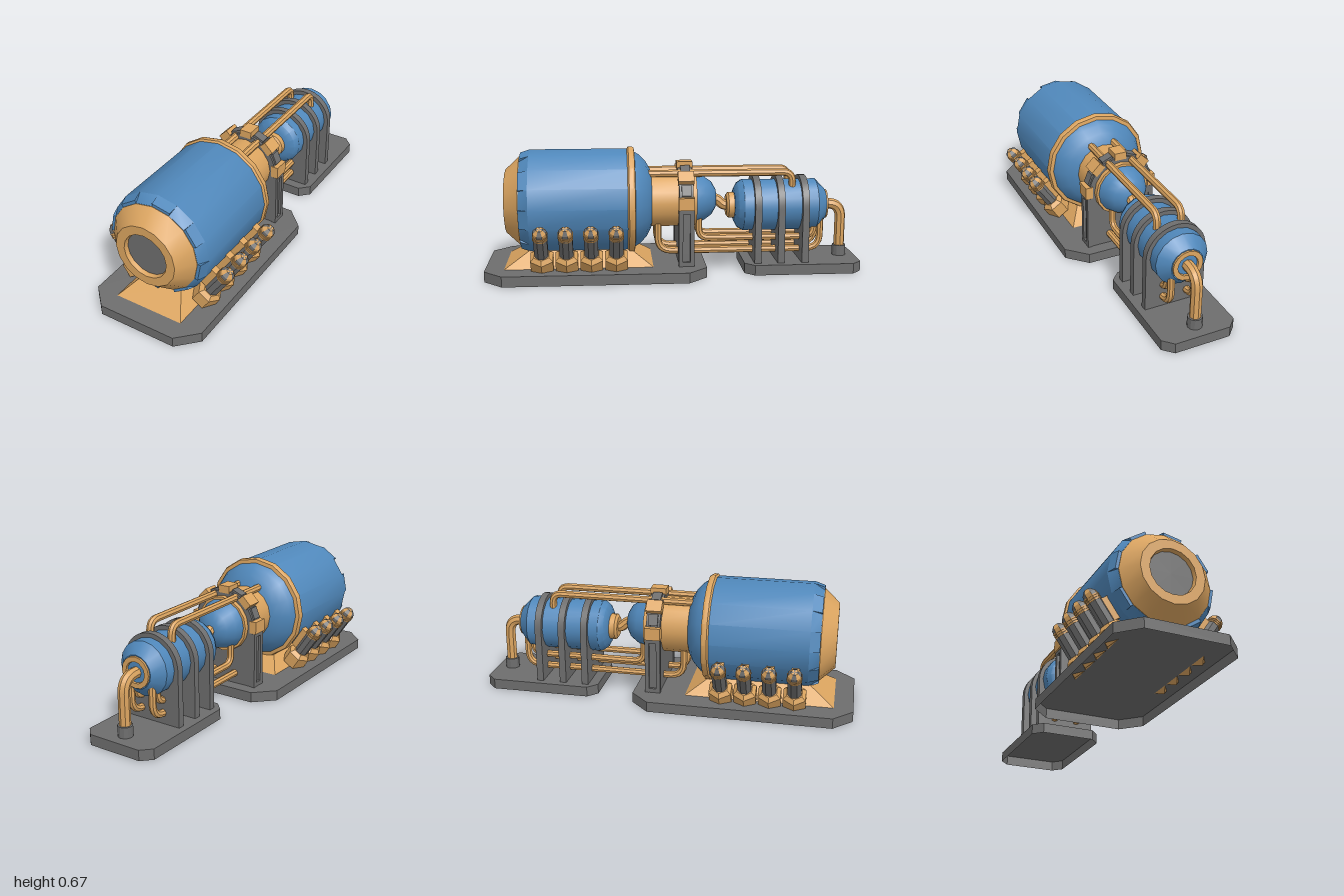
import * as THREE from 'three';
import { toCreasedNormals } from 'three/addons/utils/BufferGeometryUtils.js';

const tan = new THREE.MeshStandardMaterial({ color: 0xdca560 });
const blue = new THREE.MeshStandardMaterial({ color: 0x5088bb });
const grey = new THREE.MeshStandardMaterial({ color: 0x6e6e6e });
const greyShell = new THREE.MeshStandardMaterial({ color: 0x6e6e6e, side: THREE.DoubleSide });

const MAIN_Y = 0.385, TANK_Y = 0.345, FLOOR = 0.055;

export function createModel() {
  const model = new THREE.Group();

  function add(name, geometry, material, parent = model) {
    const mesh = new THREE.Mesh(toCreasedNormals(geometry, 0.5), material);
    mesh.name = name;
    parent.add(mesh);
    return mesh;
  }

  // Turned part along z; profile is [radius, z] with z increasing
  function turned(name, profile, y, material, sides = 16) {
    const g = new THREE.LatheGeometry(profile.map(([r, z]) => new THREE.Vector2(r, z)), sides);
    g.rotateX(Math.PI / 2).translate(0, y, 0);
    return add(name, g, material);
  }

  function box(name, w, h, d, x, y, z, material) {
    return add(name, new THREE.BoxGeometry(w, h, d).translate(x, y, z), material);
  }

  // Pipe through corner points with rounded bends
  function pipe(name, points, radius, bend) {
    const p = points.map(a => new THREE.Vector3(...a));
    const path = new THREE.CurvePath();
    let start = p[0];
    for (let i = 1; i < p.length - 1; i++) {
      const toward = (q) => p[i].clone().add(q.clone().sub(p[i]).setLength(bend));
      const a = toward(p[i - 1]), b = toward(p[i + 1]);
      path.add(new THREE.LineCurve3(start, a));
      path.add(new THREE.QuadraticBezierCurve3(a, p[i], b));
      start = b;
    }
    path.add(new THREE.LineCurve3(start, p[p.length - 1]));
    return add(name, new THREE.TubeGeometry(path, 56, radius, 8), tan);
  }

  // Hollow base slabs with cut corners: top and walls, open underneath
  function slab(name, hw, z0, z1, cut) {
    const rim = [
      [-hw + cut, z0], [hw - cut, z0], [hw, z0 + cut], [hw, z1 - cut],
      [hw - cut, z1], [-hw + cut, z1], [-hw, z1 - cut], [-hw, z0 + cut],
    ];
    const verts = [];
    rim.forEach(([x, z], i) => {
      const [u, w] = rim[(i + 1) % rim.length];
      verts.push(x, 0, z, x, FLOOR, z, u, FLOOR, w, x, 0, z, u, FLOOR, w, u, 0, w);
      verts.push(0, FLOOR, (z0 + z1) / 2, u, FLOOR, w, x, FLOOR, z);
    });
    const g = new THREE.BufferGeometry();
    g.setAttribute('position', new THREE.Float32BufferAttribute(verts, 3));
    add(name, g, greyShell);
  }
  slab('mainBase', 0.313, -0.16, 1.0, 0.1);
  slab('rearBase', 0.197, -1.0, -0.37, 0.05);

  // Cradle: box tapering upward
  const cradle = new THREE.BoxGeometry(0.38, 0.089, 0.78).translate(0, 0.1005, 0.51);
  const cp = cradle.attributes.position;
  for (let i = 0; i < cp.count; i++) {
    if (cp.getY(i) < 0.1) continue;
    cp.setX(i, cp.getX(i) * 0.53);
    cp.setZ(i, 0.505 + (cp.getZ(i) - 0.51) * 0.65);
  }
  add('cradle', cradle, tan);

  // Main vessel
  turned('mainShell', [[0.14, 0.12], [0.165, 0.13], [0.205, 0.152], [0.24, 0.185], [0.265, 0.225],
    [0.275, 0.25], [0.275, 0.762], [0.243, 0.812], [0.2, 0.812]], MAIN_Y, blue);
  turned('shellBand', [[0.26, 0.212], [0.28, 0.215], [0.285, 0.225], [0.285, 0.245], [0.272, 0.255]], MAIN_Y, tan);
  turned('frontCap', [[0.242, 0.8], [0.242, 0.815], [0.17, 0.893], [0.122, 0.893], [0.116, 0.865]], MAIN_Y, tan);
  turned('frontWindow', [[0.12, 0.87], [0, 0.87]], MAIN_Y, grey);
  turned('neck', [[0, -0.115], [0.148, -0.115], [0.15, -0.1], [0.15, 0.16]], MAIN_Y, tan);
  turned('neckDome', [[0, -0.232], [0.05, -0.225], [0.09, -0.202], [0.12, -0.16], [0.137, -0.11]], MAIN_Y, blue);

  // Raised blocks around the front rim
  for (let k = 0; k < 8; k++) {
    const a0 = (k + 0.5) * Math.PI / 4, a1 = a0 + Math.PI / 8;
    const corner = (r, a) => new THREE.Vector2(r * Math.cos(a), r * Math.sin(a));
    const s = new THREE.Shape([corner(0.225, a0), corner(0.275, a0), corner(0.275, a1), corner(0.225, a1)]);
    const g = new THREE.ExtrudeGeometry(s, { depth: 0.051, bevelEnabled: false });
    const p = g.attributes.position;
    for (let i = 0; i < p.count; i++) {
      if (p.getZ(i) > 0.01) p.setXY(i, p.getX(i) * 0.94, p.getY(i) * 0.94);
    }
    add('rimBlock', g.translate(0, MAIN_Y, 0.762), blue);
  }

  // Arched plate standing on a base
  function arch(name, radius, y, z, depth) {
    const s = new THREE.Shape();
    s.moveTo(-radius, FLOOR);
    s.lineTo(radius, FLOOR);
    s.lineTo(radius, y);
    s.absarc(0, y, radius, 0, Math.PI, false);
    s.closePath();
    const g = new THREE.ExtrudeGeometry(s, { depth, bevelEnabled: false, curveSegments: 10 });
    add(name, g.translate(0, 0, z - depth / 2), grey);
  }
  arch('neckSupport', 0.178, MAIN_Y, -0.055, 0.074);
  for (const z of [-0.44, -0.565, -0.695]) arch('tankSupport', 0.161, TANK_Y, z, 0.036);

  // Clamp blocks, grey inserts and side frames on the neck support
  for (let k = 0; k < 9; k++) {
    const [w, h, d, mat] = k % 2 ? [0.03, 0.06, 0.05, grey] : [0.04, 0.066, 0.084, tan];
    const g = new THREE.BoxGeometry(w, h, d).translate(k % 2 ? 0.17 : 0.18, 0, 0);
    g.rotateZ(k * Math.PI / 8).translate(0, MAIN_Y + 0.005, -0.055);
    add(k % 2 ? 'clampInsert' : 'clampBlock', g, mat);
  }
  for (const x of [-0.18, 0.18]) {
    for (const z of [-0.085, -0.025]) box('supportFrame', 0.024, 0.3, 0.022, x, 0.205, z, grey);
    for (const y of [0.067, 0.348]) box('supportFrame', 0.024, 0.022, 0.08, x, y, -0.055, grey);
  }

  // Rear tank
  turned('tankShell', [[0, -0.822], [0.085, -0.822], [0.14, -0.768], [0.14, -0.37],
    [0.122, -0.343], [0.088, -0.325], [0, -0.325]], TANK_Y, blue);
  turned('tankFrontFlange', [[0.05, -0.335], [0.07, -0.33], [0.07, -0.295], [0.055, -0.283], [0, -0.283]], TANK_Y, tan);
  turned('tankRearFlange', [[0.052, -0.818], [0.055, -0.832], [0.08, -0.832], [0.08, -0.808]], TANK_Y, tan);

  // Single pipes: link between vessels, rear outlet
  pipe('linkPipe', [[0, MAIN_Y, -0.19], [0, 0.38, -0.232], [0, TANK_Y, -0.27], [0, TANK_Y, -0.31]], 0.028, 0.015);
  pipe('outletPipe', [[0, TANK_Y, -0.8], [0, TANK_Y, -0.917], [0, 0.07, -0.917]], 0.029, 0.075);
  add('outletFoot', new THREE.CylinderGeometry(0.038, 0.038, 0.056, 12).translate(0, 0.084, -0.917), grey);

  // Paired pipes
  for (const x of [-0.065, 0.065]) {
    pipe('upperPipe', [[x, 0.533, 0.15], [x, 0.533, -0.632], [x, 0.44, -0.632]], 0.02, 0.05);
    pipe('lowerPipe', [[x, 0.28, 0.09], [x, 0.113, 0.09], [x, 0.113, -0.79], [x, 0.28, -0.79]], 0.019, 0.075);
    pipe('innerPipe', [[x, 0.29, -0.13], [x, 0.18, -0.13], [x, 0.18, -0.755], [x, 0.26, -0.755]], 0.019, 0.055);
  }

  // Slanted canisters along both sides
  function canister(side, z) {
    const c = new THREE.Group();
    c.name = 'canister';
    const cyl = (name, r0, r1, y0, y1, sides, mat) =>
      add(name, new THREE.CylinderGeometry(r1, r0, y1 - y0, sides).rotateY(Math.PI / sides)
        .translate(0, (y0 + y1) / 2, 0), mat, c);
    cyl('socket', 0.067, 0.067, -0.02, 0.052, 6, tan);
    cyl('socketCollar', 0.067, 0.045, 0.052, 0.072, 6, tan);
    cyl('barrel', 0.038, 0.038, 0.06, 0.205, 8, grey);
    for (let i = 0; i < 3; i++) cyl('thread', 0.041, 0.041, 0.196 + i * 0.011, 0.203 + i * 0.011, 8, tan);
    cyl('threadCore', 0.037, 0.037, 0.2, 0.226, 8, tan);
    // Tip with alternating panels
    const tip = [[0.038, 0.224], [0.036, 0.242], [0.018, 0.262], [0, 0.262]].map(p => new THREE.Vector2(...p));
    for (let k = 0; k < 8; k++) {
      const g = new THREE.LatheGeometry(tip, 1, (k + 0.5) * Math.PI / 4, Math.PI / 4);
      add('tipPanel', g, k % 2 ? grey : tan, c);
    }
    // Bracket to the vessel
    add('bracket', new THREE.BoxGeometry(0.085, 0.12, 0.04).translate(-side * 0.055, 0.135, 0), tan, c);
    c.position.set(side * 0.203, 0.09, z);
    c.rotation.z = -side * 0.59;
    model.add(c);
  }
  for (const side of [-1, 1]) {
    for (let i = 0; i < 4; i++) canister(side, 0.315 + i * 0.128);
  }

  return model;
}
